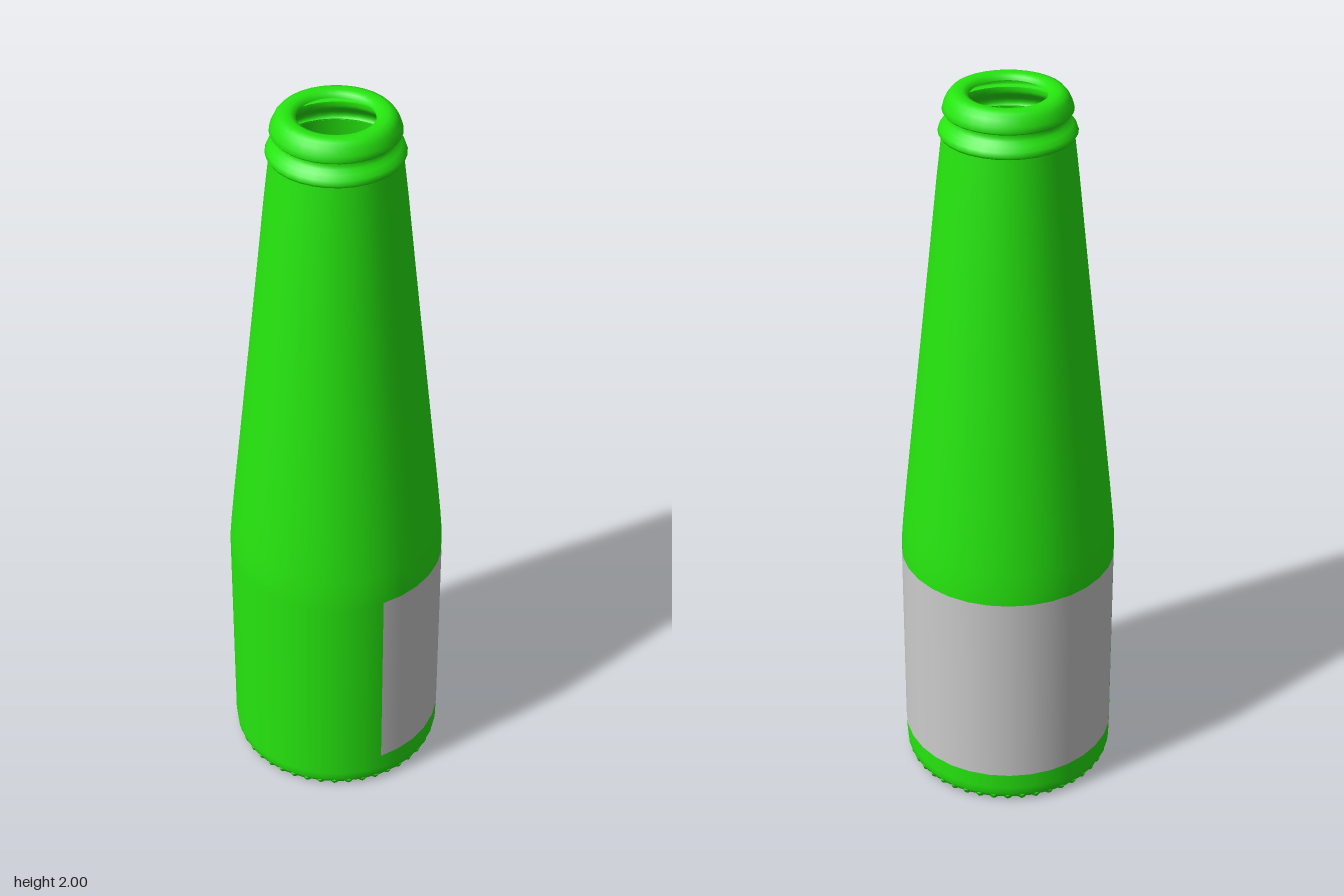
import * as THREE from 'three';

const SIDES = 32;
const green = new THREE.MeshStandardMaterial({ color: 0x26e60f, side: THREE.DoubleSide });
const grey = new THREE.MeshStandardMaterial({ color: 0xcccccc, side: THREE.DoubleSide });

// Turned part from [radius, height] pairs, listed bottom to top
function turned(name, profile, material = green, segments = SIDES, start = 0, sweep = Math.PI * 2) {
  const points = profile.map(([r, y]) => new THREE.Vector2(r, y));
  const mesh = new THREE.Mesh(new THREE.LatheGeometry(points, segments, start, sweep), material);
  mesh.name = name;
  return mesh;
}

// Knurled foot: a torus whose tube swells and shrinks around the ring
function knurledFoot() {
  const ring = 0.268, bumps = 44;
  const geometry = new THREE.TorusGeometry(ring, 0.018, 8, bumps * 6);
  geometry.rotateX(Math.PI / 2);
  const p = geometry.attributes.position;
  for (let i = 0; i < p.count; i++) {
    const x = p.getX(i), z = p.getZ(i);
    const angle = Math.atan2(z, x), r = Math.hypot(x, z);
    const swell = 0.72 + 0.28 * Math.cos(angle * bumps);
    const moved = ring + (r - ring) * swell;
    p.setXYZ(i, Math.cos(angle) * moved, p.getY(i) * swell + 0.018, Math.sin(angle) * moved);
  }
  geometry.computeVertexNormals();
  const mesh = new THREE.Mesh(geometry, green);
  mesh.name = 'knurledFoot';
  return mesh;
}

export function createModel() {
  const bottle = new THREE.Group();
  bottle.name = 'bottle';

  // Straight body and long tapering neck
  bottle.add(turned('body', [
    [0.268, 0.008], [0.282, 0.014], [0.288, 0.028], [0.29, 0.05],
    [0.29, 0.66], [0.29, 0.70], [0.285, 0.76], [0.274, 0.87],
    [0.246, 1.13], [0.217, 1.40], [0.2, 1.56], [0.178, 1.77], [0.164, 1.89],
  ]));

  // Collar below the lip
  bottle.add(turned('collar', [
    [0.164, 1.887], [0.170, 1.889], [0.174, 1.896], [0.170, 1.907],
    [0.160, 1.918], [0.150, 1.927], [0.146, 1.937], [0.147, 1.947],
  ]));

  // Rounded lip around the open mouth
  bottle.add(turned('lip', [
    [0.147, 1.947], [0.159, 1.948], [0.163, 1.953], [0.160, 1.966],
    [0.152, 1.983], [0.142, 1.995], [0.128, 2.0], [0.112, 1.999],
    [0.101, 1.994], [0.097, 1.985],
  ]));

  // Recessed floor, pushed up slightly in the middle
  bottle.add(turned('floor', [
    [0.0, 0.045], [0.1, 0.042], [0.19, 0.032], [0.25, 0.018], [0.268, 0.008],
  ]));
  bottle.add(knurledFoot());

  // Label wrapped round the back, open at the front
  const step = Math.PI * 2 / SIDES;
  bottle.add(turned('label', [[0.2912, 0.095], [0.2912, 0.667]], grey, 20, 6 * step, 20 * step));

  return bottle;
}
